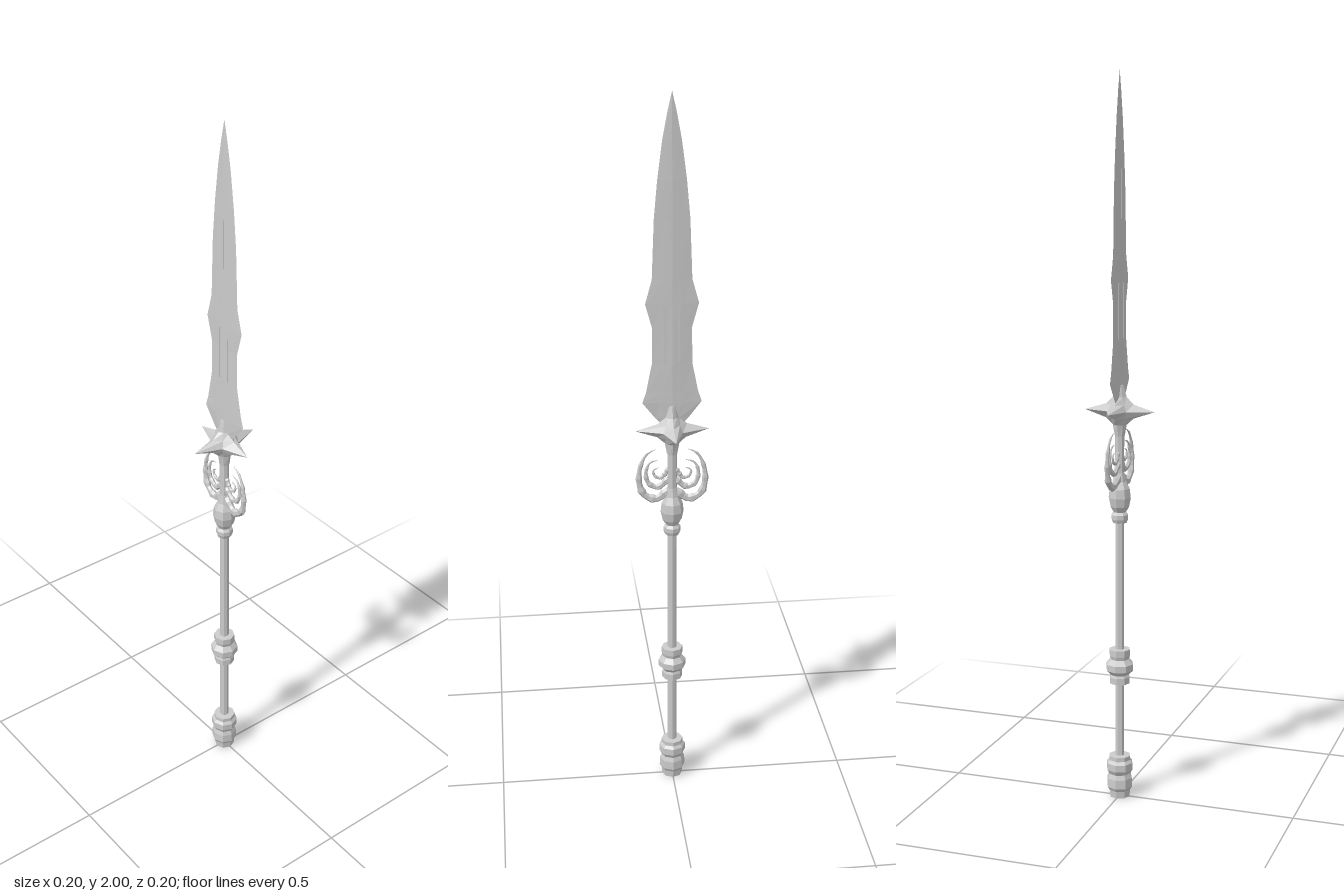
import * as THREE from 'three';

const V = (x, y, z = 0) => new THREE.Vector3(x, y, z);

// Skin a stack of closed rings and cap both ends
function loft(rings) {
  const n = rings[0].length, idx = [], last = (rings.length - 1) * n;
  for (let i = 0; i < rings.length - 1; i++)
    for (let j = 0; j < n; j++) {
      const a = i * n + j, b = i * n + (j + 1) % n;
      idx.push(a, a + n, b, b, a + n, b + n);
    }
  for (let j = 1; j < n - 1; j++) {
    idx.push(0, j, j + 1);
    idx.push(last, last + j + 1, last + j);
  }
  const g = new THREE.BufferGeometry().setFromPoints(rings.flat());
  g.setIndex(idx);
  const flat = g.toNonIndexed();
  flat.computeVertexNormals();
  return flat;
}

// Tapered, ridged hook swept along a curve in the xy plane
function hook(points, radius) {
  const curve = new THREE.CatmullRomCurve3(points), steps = 18, rings = [];
  for (let i = 0; i <= steps; i++) {
    const t = i / steps, p = curve.getPointAt(t);
    const u = curve.getTangentAt(t).cross(V(0, 0, 1));
    const r = radius * (1 - 0.9 * t ** 1.6) * (i % 3 === 1 ? 1.2 : 0.92);
    rings.push(Array.from({ length: 6 }, (_, j) => {
      const a = j / 6 * Math.PI * 2;
      return p.clone().addScaledVector(u, r * Math.cos(a)).add(V(0, 0, 0.8 * r * Math.sin(a)));
    }));
  }
  return loft(rings);
}

export function createModel() {
  const model = new THREE.Group();
  model.name = 'spear';
  const mat = new THREE.MeshStandardMaterial({ color: 0xcccccc, flatShading: true });
  const add = (name, geometry, parent = model) => {
    const mesh = new THREE.Mesh(geometry, mat);
    mesh.name = name;
    parent.add(mesh);
    return mesh;
  };
  const turned = (name, profile) => add(name,
    new THREE.LatheGeometry(profile.map(([r, y]) => new THREE.Vector2(r, y)), 8));

  // Shaft and its turned fittings
  add('shaft', new THREE.CylinderGeometry(0.013, 0.013, 1.0, 8)).position.y = 0.56;
  turned('pommel', [[0, 0], [0.029, 0], [0.031, 0.02], [0.037, 0.03], [0.036, 0.055],
    [0.031, 0.068], [0.038, 0.08], [0.038, 0.1], [0.031, 0.108], [0.031, 0.12], [0, 0.122]]);
  turned('gripCollar', [[0, 0.33], [0.029, 0.332], [0.029, 0.35], [0.026, 0.357], [0.039, 0.37],
    [0.039, 0.388], [0.027, 0.402], [0.03, 0.412], [0.03, 0.43], [0, 0.431]]);
  turned('neckCollar', [[0, 0.79], [0.02, 0.79], [0.024, 0.8], [0.024, 0.812], [0.018, 0.82],
    [0.027, 0.835], [0.032, 0.86], [0.029, 0.885], [0.019, 0.905], [0.014, 0.93], [0, 0.93]]);

  // Curled claws, three per side
  const claws = new THREE.Group();
  claws.name = 'claws';
  claws.rotation.y = -0.05;
  model.add(claws);
  const paths = [
    ['outerClaw', 0.012, [[0.01, 0.92], [0.045, 0.897], [0.078, 0.912], [0.091, 0.955], [0.083, 1.005], [0.066, 1.033], [0.045, 1.043]]],
    ['middleClaw', 0.009, [[0.01, 0.955], [0.04, 0.932], [0.064, 0.944], [0.072, 0.975], [0.06, 1.005], [0.038, 1.012]]],
    ['innerClaw', 0.007, [[0.01, 0.985], [0.03, 0.96], [0.047, 0.965], [0.051, 0.982], [0.036, 0.99]]],
  ];
  for (const s of [1, -1])
    for (const [name, r, pts] of paths)
      add((s > 0 ? 'left ' : 'right ') + name, hook(pts.map(([x, y]) => V(s * x, y)), r), claws);

  // Four-pointed star guard: height, point radius, valley radius
  const star = [[1.03, 0.014, 0.014], [1.062, 0.02, 0.018], [1.08, 0.04, 0.027], [1.1, 0.1, 0.038],
    [1.118, 0.04, 0.027], [1.138, 0.02, 0.017], [1.17, 0.011, 0.01]];
  add('starGuard', loft(star.map(([y, tip, valley]) => Array.from({ length: 8 }, (_, j) => {
    const a = j * Math.PI / 4, r = j % 2 ? valley : tip;
    return V(r * Math.cos(a), y, r * Math.sin(a));
  }))));

  // Thin barbed blade: height, half width, half thickness
  const blade = [[1.11, 0.022, 0.006], [1.135, 0.045, 0.006], [1.18, 0.08, 0.006], [1.21, 0.07, 0.006],
    [1.29, 0.054, 0.006], [1.39, 0.053, 0.005], [1.455, 0.071, 0.005], [1.52, 0.053, 0.005],
    [1.68, 0.047, 0.004], [1.78, 0.038, 0.004], [1.88, 0.025, 0.003], [1.95, 0.012, 0.002], [2, 0.0005, 0.0005]];
  add('blade', loft(blade.map(([y, w, t]) => [[1, 0], [0.4, 0.65], [0, 1], [-0.4, 0.65],
    [-1, 0], [-0.4, -0.65], [0, -1], [0.4, -0.65]].map(([x, z]) => V(x * w, y, z * t)))));

  // Narrow ribs on both faces of the blade
  for (const z of [1, -1]) {
    for (const x of [1, -1])
      add('bladeRib', new THREE.BoxGeometry(0.005, 0.15, 0.002)).position.set(x * 0.018, 1.37, z * 0.004);
    add('centreRib', new THREE.BoxGeometry(0.003, 0.13, 0.002)).position.set(0, 1.68, z * 0.0042);
  }
  return model;
}
